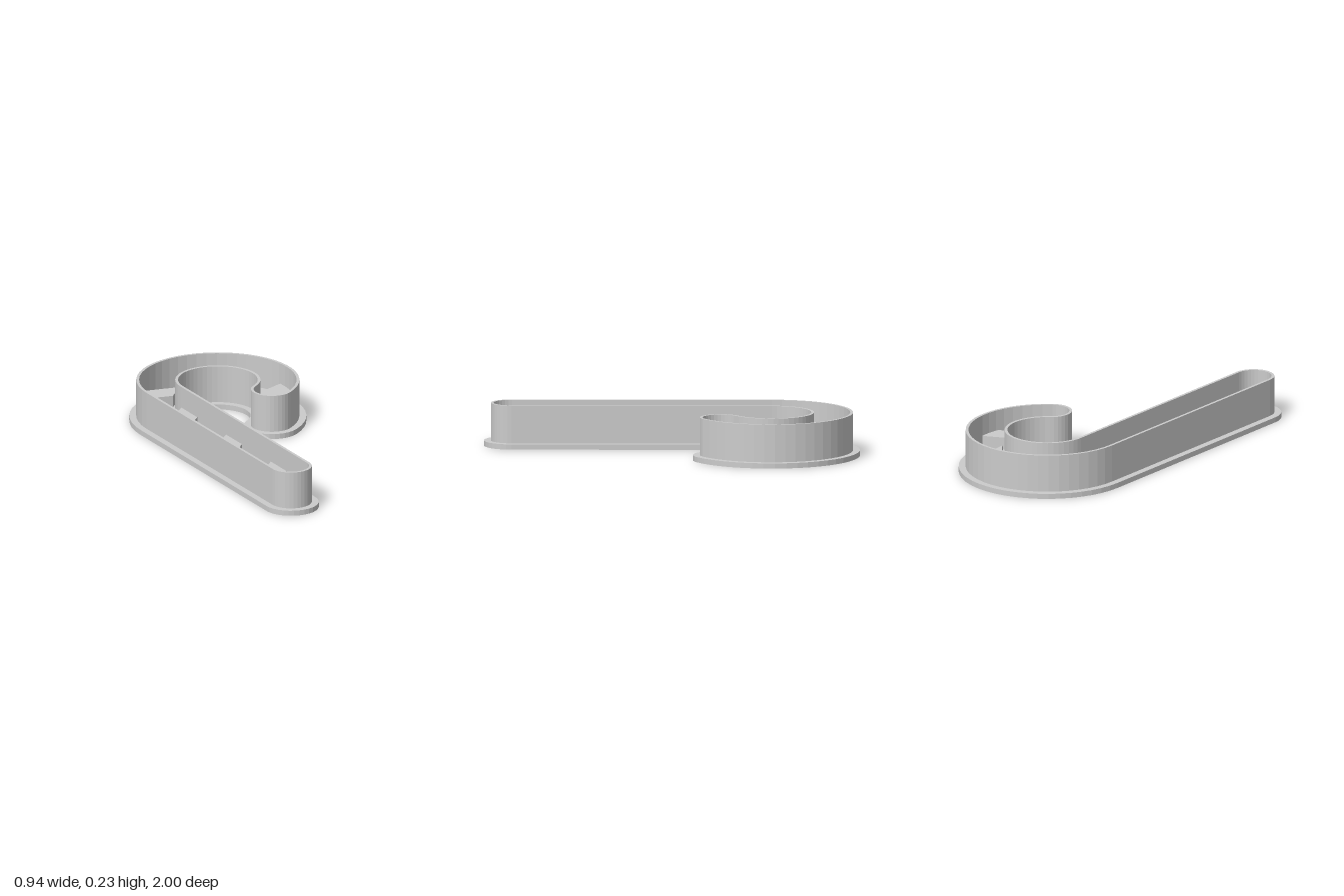
import * as THREE from 'three';

const material = new THREE.MeshStandardMaterial({ color: 0xcccccc, flatShading: true });

// Centreline of the cane in plan (plan y = -z): a hook arc, then a straight shaft
const HOOK = { y: 0.53, r: 0.3225, end: -56.5 };
const SHAFT_END = -0.852;
const RIM = 0.148;    // half-widths of the nested outlines
const WALL = 0.111;
const BLADE = 0.096;
const INNER = 0.081;

function arc(cx, cy, r, from, to, n) {
  return Array.from({ length: n + 1 }, (_, i) => {
    const a = THREE.MathUtils.degToRad(from + ((to - from) * i) / n);
    return new THREE.Vector2(cx + r * Math.cos(a), cy + r * Math.sin(a));
  });
}

const hookArc = (r, from, to, n) => arc(0, HOOK.y, r, from, to, n);

// Outline at a given half-width around the centreline, with round ends
function outline(w) {
  const e = THREE.MathUtils.degToRad(HOOK.end);
  const tip = [HOOK.r * Math.cos(e), HOOK.y + HOOK.r * Math.sin(e)];
  return [
    ...hookArc(HOOK.r + w, HOOK.end, 180, 32),
    ...arc(-HOOK.r, SHAFT_END, w, 180, 360, 16),
    ...hookArc(HOOK.r - w, 180, HOOK.end, 32),
    ...arc(...tip, w, HOOK.end - 180, HOOK.end, 16).slice(1, -1),
  ];
}

// Upright slab from a plan outline, with an optional hole
function slab(name, points, y0, y1, hole) {
  const shape = new THREE.Shape(points);
  if (hole) shape.holes.push(new THREE.Path(hole));
  const geo = new THREE.ExtrudeGeometry(shape, { depth: y1 - y0, bevelEnabled: false });
  geo.rotateX(-Math.PI / 2).translate(0, y0, 0);
  const mesh = new THREE.Mesh(geo, material);
  mesh.name = name;
  return mesh;
}

export function createModel() {
  const model = new THREE.Group();
  model.name = 'caneCookieCutter';

  // Flange, stepped wall and recessed floor
  model.add(
    slab('flange', outline(RIM), 0, 0.028, outline(WALL)),
    slab('wallBase', outline(WALL), 0, 0.06, outline(INNER)),
    slab('cuttingWall', outline(WALL), 0.06, 0.23, outline(BLADE)),
    slab('floor', outline(INNER), 0.03, 0.06),
  );

  const stripes = new THREE.Group();
  stripes.name = 'stripes';
  const addStripe = (points) => stripes.add(slab('stripe', points, 0.06, 0.125));

  // Slanted stripes on the shaft: z of the upper edge on the outer side
  const xo = -HOOK.r - INNER, xi = -HOOK.r + INNER;
  for (const z of [-0.33, 0.16, 0.65]) {
    addStripe([[xo, -z - 0.175], [xi, -z - 0.01], [xi, -z + 0.165], [xo, -z]]
      .map(([x, y]) => new THREE.Vector2(x, y)));
  }

  // Stripes on the hook: start and end angles on the outer and inner edges
  for (const [o0, o1, i0, i1] of [[134, 153, 95, 142], [61, 80, 23, 67], [-12.5, 6, -52, -6]]) {
    addStripe([
      ...hookArc(HOOK.r + INNER, o0, o1, 4),
      ...hookArc(HOOK.r - INNER, i1, i0, 6),
    ]);
  }
  model.add(stripes);
  return model;
}
